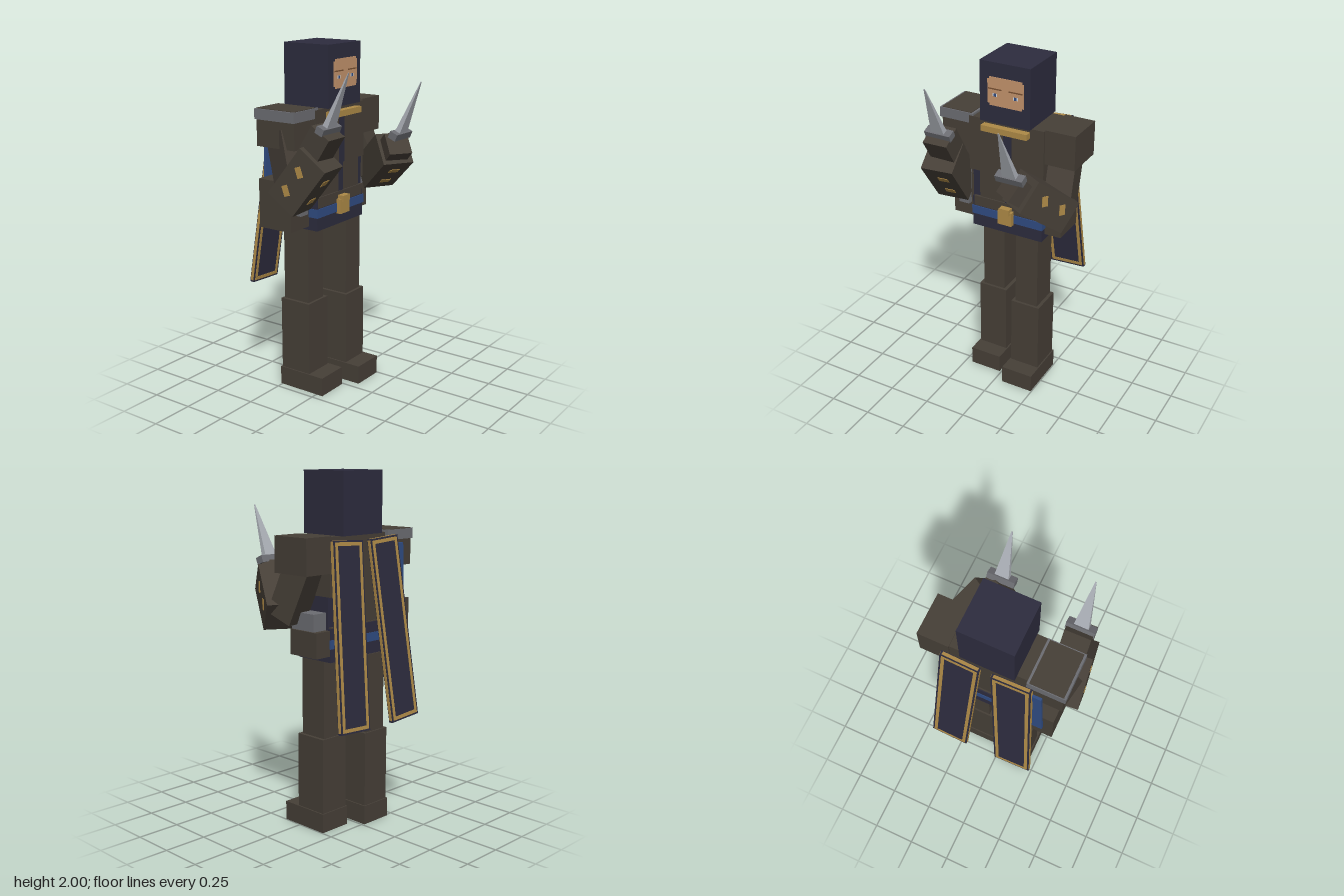
import * as THREE from 'three';

const mat = (name, color) => Object.assign(new THREE.MeshStandardMaterial({ color }), { name });
const brown = mat('dark leather', 0x463f37);
const navy = mat('navy cloth', 0x2d2c3e);
const gold = mat('gold trim', 0xae8a47);
const blue = mat('blue sash', 0x304c82);
const grey = mat('grey metal', 0x6c6d72);
const steel = mat('bright steel', 0xa9adb4);
const skin = mat('skin', 0xc4946c);
const hair = mat('brow brown', 0x7a5234);
const white = mat('eye white', 0xd8dce2);

// Box given by its min and max on each axis
function box(parent, name, m, x0, x1, y0, y1, z0, z1) {
  const mesh = new THREE.Mesh(new THREE.BoxGeometry(x1 - x0, y1 - y0, z1 - z0), m);
  mesh.position.set((x0 + x1) / 2, (y0 + y1) / 2, (z0 + z1) / 2);
  mesh.name = name;
  parent.add(mesh);
  return mesh;
}

// Box running from a to b; the group's local z follows the limb
function limb(parent, name, a, b, w, h) {
  const g = new THREE.Group();
  const from = new THREE.Vector3(...a), to = new THREE.Vector3(...b);
  const len = from.distanceTo(to);
  g.name = name;
  g.position.copy(from).lerp(to, 0.5);
  g.lookAt(to);
  box(g, name + 'Box', brown, -w / 2, w / 2, -h / 2, h / 2, -len / 2, len / 2);
  parent.add(g);
  return g;
}

// Guard and tapering four-sided blade, leaning forward
function blade(parent, name, x, y, z) {
  const g = new THREE.Group();
  g.name = name;
  g.position.set(x, y, z);
  g.rotation.x = 0.4;
  box(g, 'guard', grey, -0.08, 0.08, -0.02, 0.02, -0.025, 0.025);
  const geo = new THREE.CylinderGeometry(0.005, 0.06, 0.32, 4).toNonIndexed();
  geo.rotateY(Math.PI / 4).scale(1, 1, 0.4).computeVertexNormals();
  const spike = new THREE.Mesh(geo, steel);
  spike.name = 'spike';
  spike.position.y = 0.165;
  g.add(spike);
  parent.add(g);
}

// Hanging cape panel with an inset gold frame, pivoting at its top
function cape(parent, name, x, side) {
  const g = new THREE.Group();
  const w = 0.22, h = 1.02;
  g.name = name;
  g.position.set(x, 1.64, -0.277);
  g.rotation.set(0.12, 0, side * 0.06);
  box(g, 'capeCloth', navy, -w / 2, w / 2, -h, 0, -0.013, 0.013);
  const rect = (S, i) => {
    const s = new S();
    s.moveTo(-w / 2 + i, -i).lineTo(-w / 2 + i, -h + i);
    s.lineTo(w / 2 - i, -h + i).lineTo(w / 2 - i, -i).closePath();
    return s;
  };
  const frame = rect(THREE.Shape, 0.01);
  frame.holes.push(rect(THREE.Path, 0.029));
  const geo = new THREE.ExtrudeGeometry(frame, { depth: 0.03, bevelEnabled: false });
  const trim = new THREE.Mesh(geo.translate(0, 0, -0.015), gold);
  trim.name = 'capeFrame';
  g.add(trim);
  for (const s of [-1, 1])
    box(g, 'capeEdge', gold, s * w / 2 - 0.002, s * w / 2 + 0.002, -h + 0.01, -0.005, -0.009, 0.009);
  box(g, 'capeTopEdge', gold, -w / 2 + 0.01, w / 2 - 0.01, -0.002, 0.002, -0.009, 0.009);
  parent.add(g);
}

export function createModel() {
  const root = new THREE.Group();
  root.name = 'hoodedFighter';
  const add = (...a) => box(root, ...a);

  // Hooded head and face
  add('hood', navy, -0.13, 0.172, 1.66, 2, -0.264, 0.035);
  add('face', skin, -0.07, 0.125, 1.76, 1.92, 0.03, 0.038);
  add('faceMiddle', skin, -0.082, 0.135, 1.772, 1.908, 0.03, 0.0375);
  for (const s of [-1, 1]) {
    const c = 0.025 + s * 0.062;
    add('brow', hair, c - 0.04, c + 0.04, 1.851, 1.858, 0.033, 0.04);
    add('eyeWhite', white, c - 0.014, c + 0.014, 1.813, 1.83, 0.033, 0.039);
    add('iris', blue, c - 0.007, c + 0.007, 1.813, 1.83, 0.033, 0.04);
  }

  // Torso, collar and belt
  add('chest', brown, -0.215, 0.245, 1.34, 1.66, -0.235, 0.012);
  add('abdomen', brown, -0.155, 0.2, 1.16, 1.34, -0.222, 0.004);
  add('coatLining', navy, -0.2, 0.24, 1.17, 1.34, -0.215, -0.003);
  add('chestStripe', navy, 0, 0.05, 1.34, 1.61, 0.01, 0.016);
  add('abdomenStripe', navy, 0.006, 0.044, 1.17, 1.34, 0.002, 0.008);
  add('collar', gold, -0.118, 0.162, 1.606, 1.64, 0, 0.053);
  add('coatSkirt', navy, -0.2, 0.24, 0.985, 1.17, -0.235, 0.008);
  add('jacketHem', brown, -0.19, 0.23, 1.115, 1.175, -0.23, 0.012);
  add('belt', blue, -0.204, 0.244, 1.06, 1.11, -0.239, 0.014);
  add('buckle', gold, -0.022, 0.065, 1.05, 1.135, 0.01, 0.04);
  add('buckleTop', gold, -0.01, 0.053, 1.12, 1.155, 0.01, 0.05);

  // Hip gear
  add('leftPouch', brown, 0.2, 0.34, 1.02, 1.16, -0.23, -0.03);
  add('leftPouchPlate', grey, 0.2, 0.33, 1.16, 1.255, -0.2, -0.03);
  add('rightPouch', brown, -0.36, -0.2, 1.005, 1.28, -0.268, -0.05);
  add('rightSheath', grey, -0.31, -0.245, 1.09, 1.3, -0.06, -0.02);
  const sash = add('backSash', blue, -0.295, -0.235, 1.13, 1.6, -0.285, -0.27);
  sash.rotation.z = -0.04;

  // Legs, the left one a step ahead
  for (const [side, x, z] of [['right', -0.11, -0.078], ['left', 0.148, 0]]) {
    add(side + 'Thigh', brown, x - 0.07, x + 0.07, 0.53, 0.99, z - 0.165, z + 0.006);
    add(side + 'Shin', brown, x - 0.09, x + 0.09, 0.1, 0.54, z - 0.175, z + 0.022);
    add(side + 'Boot', brown, x - 0.098, x + 0.098, 0, 0.11, z - 0.182, z + 0.12);
  }

  // Shoulders
  add('leftShoulder', brown, 0.245, 0.422, 1.468, 1.665, -0.242, 0);
  add('rightShoulder', brown, -0.39, -0.203, 1.468, 1.675, -0.25, 0.004);
  add('rightShoulderBand', grey, -0.402, -0.19, 1.615, 1.672, -0.255, 0.01);

  // Left arm reaching across the front
  limb(root, 'leftUpperArm', [0.315, 1.55, -0.14], [0.34, 1.22, 0], 0.15, 0.16);
  const lf = limb(root, 'leftForearm', [0.358, 1.22, 0.015], [0.225, 1.41, 0.235], 0.185, 0.19);
  limb(root, 'leftHand', [0.235, 1.38, 0.21], [0.185, 1.45, 0.285], 0.135, 0.13);
  blade(root, 'leftBlade', 0.197, 1.5, 0.288);

  // Right arm raised
  limb(root, 'rightUpperArm', [-0.3, 1.55, -0.13], [-0.33, 1.24, -0.04], 0.15, 0.16);
  const rf = limb(root, 'rightForearm', [-0.343, 1.18, -0.07], [-0.322, 1.44, 0.13], 0.19, 0.19);
  limb(root, 'rightHand', [-0.312, 1.43, 0.07], [-0.31, 1.58, 0.165], 0.148, 0.13);
  blade(root, 'rightBlade', -0.309, 1.59, 0.165);

  // Worn gold patches on the forearms: outer face and underside
  for (const [arm, s, half] of [[lf, 1, 0.0925], [rf, -1, 0.095]]) {
    for (const z of [-0.075, 0.06]) {
      const out = box(arm, 'goldPatch', gold, s * half - 0.003, s * half + 0.003, -0.01, 0.05, z - 0.02, z + 0.015);
      out.rotation.x = 0.6;
      box(arm, 'goldPatch', gold, -0.02, 0.04, -0.098, -0.092, z - 0.018, z + 0.018);
    }
  }

  // Capes
  cape(root, 'leftCape', 0.162, 1);
  cape(root, 'rightCape', -0.12, -1);
  return root;
}
